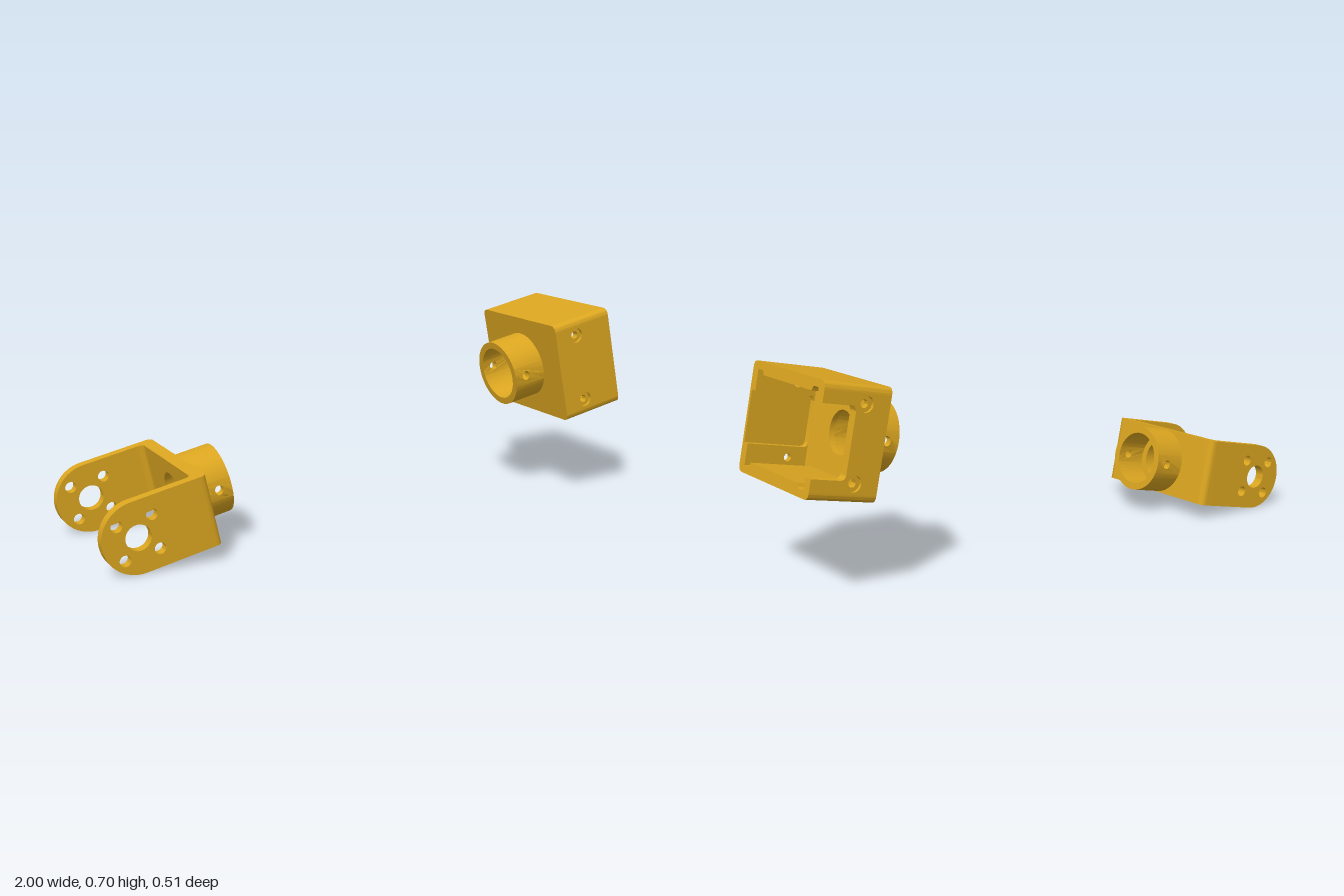
import * as THREE from 'three';
import { toCreasedNormals } from 'three/addons/utils/BufferGeometryUtils.js';

const material = new THREE.MeshStandardMaterial({ color: 0xdaa520 });
const TILT = THREE.MathUtils.degToRad(12);
const TUBE_R = 0.119, TUBE_BORE = 0.095, PLATE_HOLE = 0.0725;

function add(group, name, geometry) {
  const mesh = new THREE.Mesh(toCreasedNormals(geometry, 0.6), material);
  mesh.name = name;
  group.add(mesh);
  return mesh;
}

const polygon = (pts) => new THREE.Shape(pts.map(([x, y]) => new THREE.Vector2(x, y)));

function drill(shape, x, y, r) {
  shape.holes.push(new THREE.Path().absarc(x, y, r, 0, Math.PI * 2, true));
  return shape;
}

const extrude = (shape, depth, curveSegments = 20) =>
  new THREE.ExtrudeGeometry(shape, { depth, bevelEnabled: false, curveSegments });

// extrude a (z, y) outline along x, between x0 and x1
const extrudeX = (shape, x0, x1) => extrude(shape, x1 - x0).rotateY(Math.PI / 2).translate(x0, 0, 0);

// Socket along +y: two wall arcs and two curved patches pierced by set-screw holes
function makeSocket(length, holeHeight) {
  const socket = new THREE.Group();
  socket.name = 'tubeSocket';
  const half = 0.3, mid = (TUBE_R + TUBE_BORE) / 2;
  const profile = [[TUBE_BORE, 0], [TUBE_R, 0], [TUBE_R, length], [TUBE_BORE, length], [TUBE_BORE, 0]]
    .map(([r, h]) => new THREE.Vector2(r, h));
  for (const start of [0, Math.PI]) {
    add(socket, 'socketWall', new THREE.LatheGeometry(profile, 40, start + half, Math.PI - 2 * half));

    const pts = [];
    for (let i = 0; i <= 8; i++) pts.push([(i / 4 - 1) * half * mid, 0]);
    for (let i = 8; i >= 0; i--) pts.push([(i / 4 - 1) * half * mid, length]);
    const geo = extrude(drill(polygon(pts), 0, holeHeight, 0.015), TUBE_R - TUBE_BORE);
    const p = geo.attributes.position;
    for (let i = 0; i < p.count; i++) {
      const a = p.getX(i) / mid + start, r = TUBE_BORE + p.getZ(i);
      p.setXYZ(i, r * Math.sin(a), p.getY(i), r * Math.cos(a));
    }
    add(socket, 'setScrewWall', geo);
  }
  return socket;
}

// U-shaped bracket with its pivot axis at the origin
function makeYoke() {
  const yoke = new THREE.Group();
  yoke.name = 'yokeBracket';
  const w = 0.12, inner = 0.222, outer = 0.257, back = 0.218, front = 0.26;

  for (const turn of [0, Math.PI]) {
    const side = new THREE.Group();
    side.name = 'yokeSide';
    side.rotation.x = turn;
    yoke.add(side);

    // rounded arm with pivot bore and four bolt holes
    const arm = new THREE.Shape();
    arm.moveTo(0.19, -w);
    arm.lineTo(0.19, w);
    arm.lineTo(0, w);
    arm.absarc(0, 0, w, Math.PI / 2, Math.PI * 1.5, false);
    drill(arm, 0, 0, 0.043);
    for (let i = 0; i < 4; i++) {
      const a = Math.PI / 4 + i * Math.PI / 2;
      drill(arm, 0.083 * Math.cos(a), 0.083 * Math.sin(a), 0.019);
    }
    add(side, 'yokeArm', extrude(arm, outer - inner).translate(0, 0, inner));

    // filleted corner joining arm and plate
    const corner = new THREE.Shape();
    corner.moveTo(0.19, inner);
    corner.lineTo(back - 0.02, inner);
    corner.quadraticCurveTo(back, inner, back, inner - 0.02);
    corner.lineTo(back, 0.195);
    corner.lineTo(front, 0.195);
    corner.lineTo(front, outer - 0.022);
    corner.quadraticCurveTo(front, outer, front - 0.022, outer);
    corner.lineTo(0.19, outer);
    add(side, 'yokeCorner', extrude(corner, 2 * w, 8).rotateX(Math.PI / 2).translate(0, w, 0));
  }

  const plate = polygon([[-0.195, -w], [0.195, -w], [0.195, w], [-0.195, w]]);
  add(yoke, 'yokePlate', extrudeX(drill(plate, 0, 0, PLATE_HOLE), back, front));

  const socket = makeSocket(0.121, 0.075);
  socket.position.x = front;
  socket.rotation.z = -Math.PI / 2;
  yoke.add(socket);
  return yoke;
}

// Open housing; origin at the free end of its socket, mouth towards +x
function makeHousing() {
  const housing = new THREE.Group();
  housing.name = 'housing';
  const x0 = 0.123, x1 = 0.358, h = 0.18, d = 0.2275, inZ = 0.193, midZ = 0.2165, seam = 0.155;

  // roof and floor, with rounded outer edges and corner reliefs inside
  for (const turn of [0, Math.PI]) {
    const cap = new THREE.Shape();
    cap.moveTo(-d, seam);
    cap.quadraticCurveTo(-d, h, -d + 0.025, h);
    cap.lineTo(d - 0.025, h);
    cap.quadraticCurveTo(d, h, d, seam);
    cap.lineTo(inZ, seam);
    cap.lineTo(0.172, seam);
    cap.quadraticCurveTo(0.157, seam, 0.155, 0.14);
    cap.lineTo(-0.155, 0.14);
    cap.quadraticCurveTo(-0.157, seam, -0.172, seam);
    cap.lineTo(-inZ, seam);
    add(housing, turn ? 'housingFloor' : 'housingRoof', extrudeX(cap, x0, x1)).rotation.x = turn;
  }

  // end plate with through hole
  const plate = polygon([[-inZ, -seam], [inZ, -seam], [inZ, seam], [-inZ, seam]]);
  add(housing, 'housingEndPlate', extrudeX(drill(plate, 0, 0, PLATE_HOLE), x0, 0.142));

  // side wall layer: optional slot from the mouth back to slotX, two screw holes
  const wall = (name, z0, z1, holeR, slotX, slotH) => {
    const s = new THREE.Shape();
    s.moveTo(x0, -seam);
    s.lineTo(x1, -seam);
    if (slotH) {
      const r = 0.02;
      s.lineTo(x1, -slotH);
      s.lineTo(slotX + r, -slotH);
      s.quadraticCurveTo(slotX, -slotH, slotX, -slotH + r);
      s.lineTo(slotX, slotH - r);
      s.quadraticCurveTo(slotX, slotH, slotX + r, slotH);
      s.lineTo(x1, slotH);
    }
    s.lineTo(x1, seam);
    s.lineTo(x0, seam);
    for (const y of [-0.122, 0.122]) drill(s, 0.209, y, holeR);
    add(housing, name, extrude(s, z1 - z0).translate(0, 0, z0));
  };
  wall('leftWallOuter', midZ, d, 0.026);
  wall('leftWallInner', inZ, midZ, 0.013, 0.142, 0.085);
  wall('rightWallOuter', -d, -midZ, 0.026, 0.24, 0.114);
  wall('rightWallInner', -midZ, -inZ, 0.013, 0.24, 0.114);

  const socket = makeSocket(x0, x0 - 0.045);
  socket.position.x = x0;
  socket.rotation.z = Math.PI / 2;
  housing.add(socket);
  return housing;
}

export function createModel() {
  const model = new THREE.Group();
  model.name = 'jointBrackets';
  const yoke = makeYoke();
  yoke.position.set(-0.88, 0.12, 0);
  const housing = makeHousing();
  housing.position.set(0.612, 0.445, 0);
  for (const part of [yoke, housing]) {
    part.rotation.z = TILT;
    model.add(part);
  }
  return model;
}
